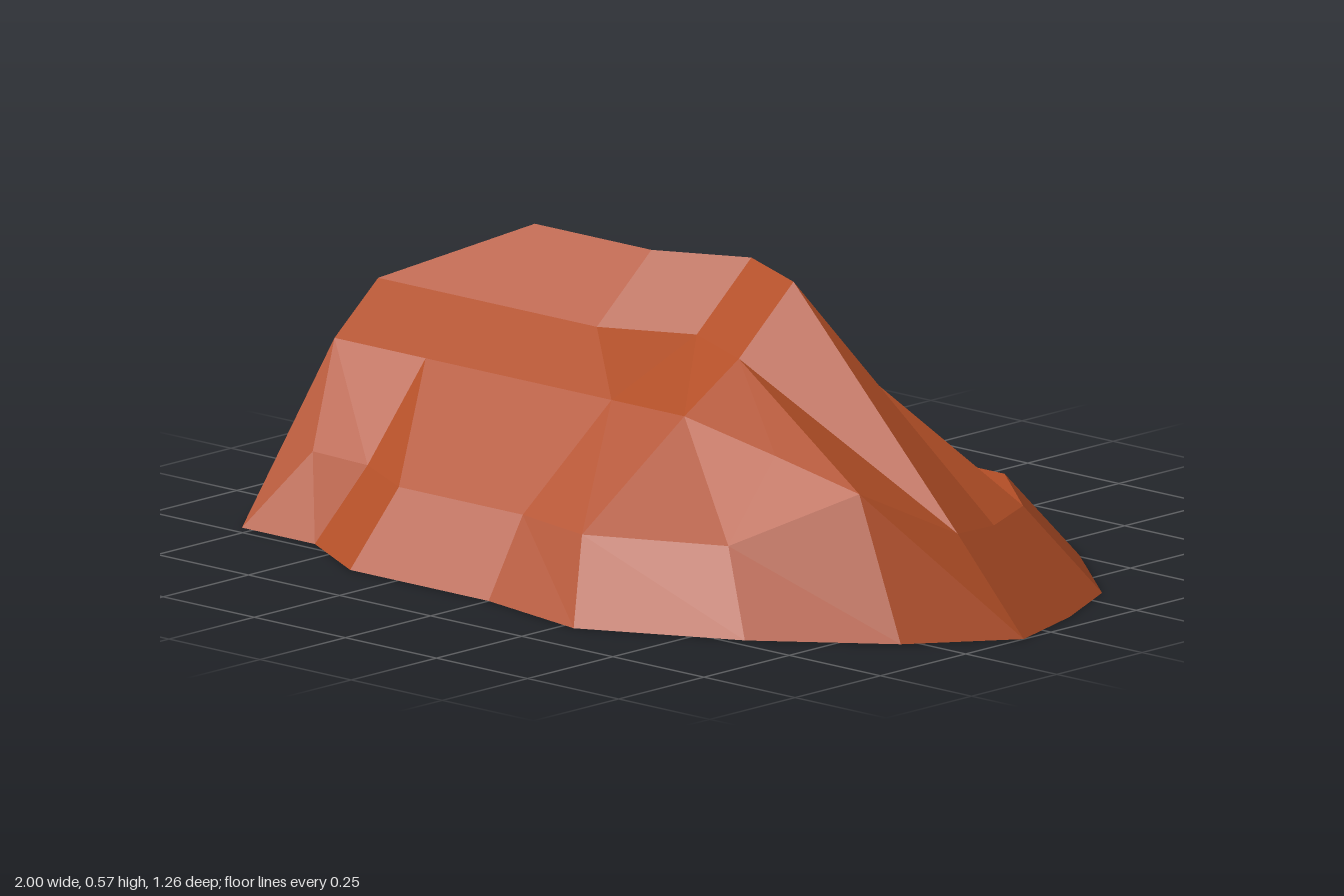
import * as THREE from 'three';

// Joins successive rows of points with triangles, leaving out collapsed ones
function loft(rows) {
  const out = [];
  const same = (p, q) => p.every((v, i) => Math.abs(v - q[i]) < 1e-4);
  const tri = (a, b, c) => {
    if (!same(a, b) && !same(b, c) && !same(a, c)) out.push(...a, ...b, ...c);
  };
  for (let r = 0; r < rows.length - 1; r++) {
    const lower = rows[r], upper = rows[r + 1];
    for (let i = 0; i < lower.length - 1; i++) {
      tri(lower[i], lower[i + 1], upper[i]);
      tri(lower[i + 1], upper[i + 1], upper[i]);
    }
  }
  const geo = new THREE.BufferGeometry();
  geo.setAttribute('position', new THREE.Float32BufferAttribute(out, 3));
  geo.computeVertexNormals();
  return geo;
}

// Ground outline points from [x, z] pairs
const ground = (pts) => pts.map(([x, z]) => [x, 0, z]);
const times = (n, p) => Array(n).fill(p);

export function createModel() {
  const group = new THREE.Group();
  group.name = 'rock';
  const rust = new THREE.MeshStandardMaterial({ color: 0xb24e26, side: THREE.DoubleSide });
  rust.name = 'rustStone';
  rust.flatShading = true;

  // Corners shared by both slopes
  const leftPeak = [-0.79, 0.44, 0.06], leftCrest = [-0.51, 0.57, -0.1];
  const midCrest = [-0.19, 0.57, -0.1], notch = [0, 0.57, -0.19];
  const rightCrest = [0.2, 0.57, -0.1], shoulder = [0.2, 0.44, 0.06];
  const rightEnd = [0.8, 0.18, 0.06], leftKnee = [-0.76, 0.35, 0.22];
  const rightKnee = [0.68, 0.27, 0.22];

  // Front slope, from the ground up, each row running from -x to +x
  const front = [
    ground([[-1, -0.12], [-0.92, 0.08], [-0.89, 0.28], [-0.78, 0.47], [-0.58, 0.47], [-0.38, 0.58],
      [0, 0.58], [0.28, 0.63], [0.6, 0.47], [0.85, 0.28], [1, 0.08]]),
    [leftPeak, leftPeak, leftKnee, [-0.67, 0.16, 0.38], [-0.51, 0.16, 0.39], [-0.34, 0.16, 0.48],
      [0, 0.16, 0.48], [0.2, 0.16, 0.52], [0.48, 0.16, 0.39], rightKnee, rightEnd],
    [leftPeak, leftPeak, leftKnee, leftKnee, [-0.51, 0.35, 0.22], [-0.34, 0.35, 0.22],
      [0, 0.35, 0.22], [0.2, 0.35, 0.22], [0.45, 0.31, 0.22], rightKnee, rightEnd],
    [...times(4, leftPeak), [-0.51, 0.44, 0.06], [-0.19, 0.44, 0.06], [0, 0.44, -0.03], ...times(4, shoulder)],
    [...times(4, leftPeak), leftCrest, midCrest, notch, ...times(4, rightCrest)],
  ];

  // Back slope, from the ground up, each row running from +x to -x
  const ledge = [rightEnd, rightEnd, [0.75, 0.16, -0.1], [0.68, 0.16, -0.26], [0.47, 0.16, -0.43],
    [0.2, 0.16, -0.43], [0, 0.16, -0.53], [-0.19, 0.16, -0.53], [-0.35, 0.16, -0.43],
    [-0.51, 0.16, -0.49], [-0.67, 0.16, -0.43], [-0.76, 0.16, -0.26], leftPeak];
  // Inner edge of the two small flat shelves
  const shelf = ledge.slice();
  shelf[4] = ledge[5];
  shelf[10] = ledge[9];
  const back = [
    ground([[1, 0.08], [1, 0.08], [0.94, -0.12], [0.85, -0.31], [0.6, -0.51], [0.28, -0.51], [0, -0.63],
      [-0.19, -0.63], [-0.38, -0.51], [-0.58, -0.58], [-0.78, -0.51], [-1, -0.12], [-1, -0.12]]),
    ledge,
    shelf,
    [shoulder, rightCrest, ...times(4, [0.2, 0.38, -0.26]), [0, 0.38, -0.26], [-0.19, 0.38, -0.26],
      [-0.35, 0.39, -0.26], ...times(2, [-0.51, 0.4, -0.26]), leftCrest, leftPeak],
    [...times(6, rightCrest), notch, midCrest, [-0.35, 0.57, -0.1], ...times(3, leftCrest), leftPeak],
  ];

  for (const [name, rows] of [['frontSlope', front], ['backSlope', back]]) {
    const mesh = new THREE.Mesh(loft(rows), rust);
    mesh.name = name;
    group.add(mesh);
  }
  return group;
}
